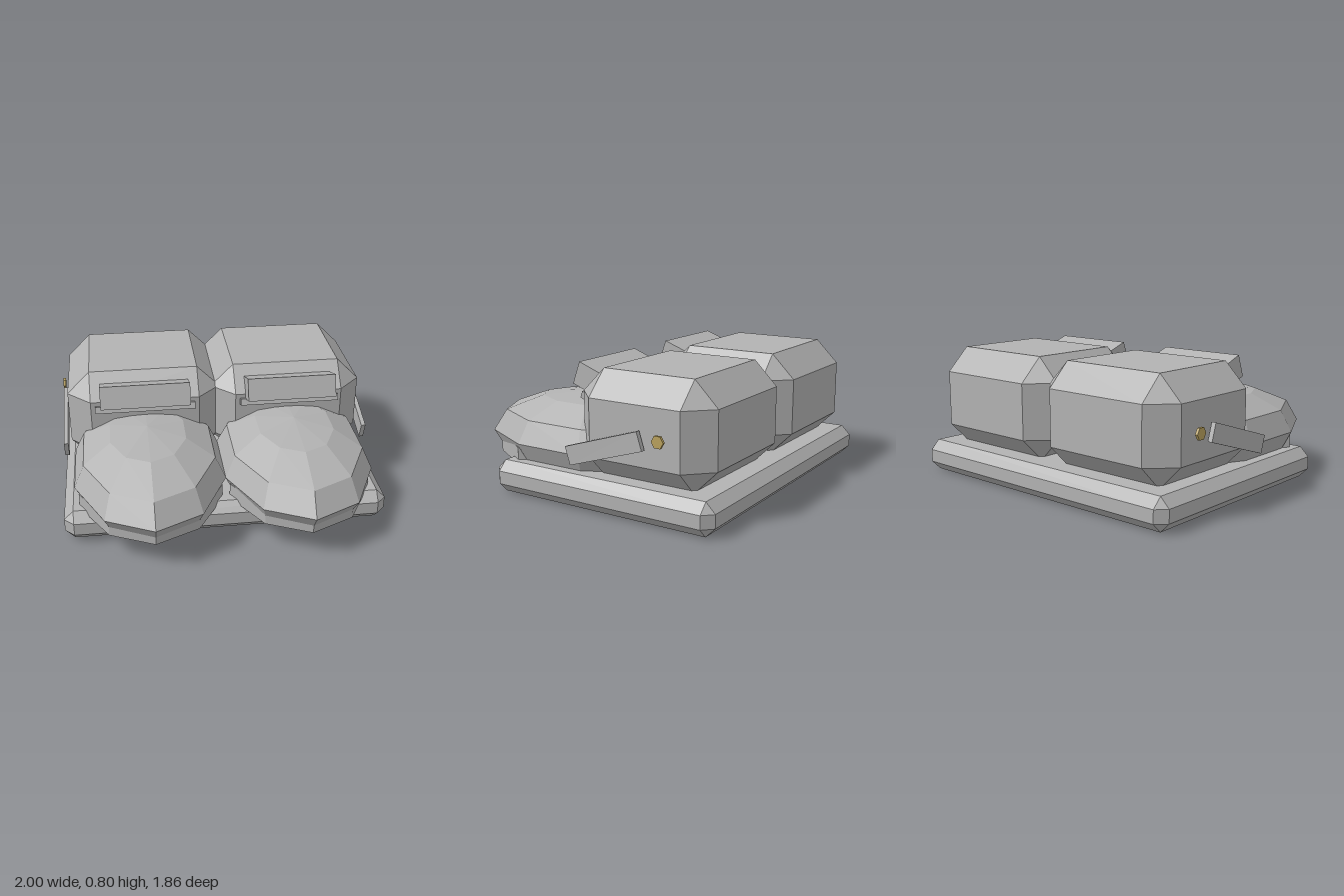
import * as THREE from 'three';
import { ConvexGeometry } from 'three/addons/geometries/ConvexGeometry.js';

const gray = new THREE.MeshStandardMaterial({ color: 0xb2b2b2 });
gray.name = 'gray';
const brass = new THREE.MeshStandardMaterial({ color: 0xbaa25e });
brass.name = 'brass';

// Separate the faces so every facet is flat shaded
function faceted(geometry) {
  const flat = geometry.index ? geometry.toNonIndexed() : geometry;
  flat.computeVertexNormals();
  return flat;
}

function part(name, geometry, material, x, y, z) {
  const mesh = new THREE.Mesh(faceted(geometry), material);
  mesh.name = name;
  mesh.position.set(x, y, z);
  return mesh;
}

// Box with every edge cut by c; a, b, d are half sizes
function chamferedBox(a, b, d, c) {
  const points = [];
  for (const x of [-1, 1]) for (const y of [-1, 1]) for (const z of [-1, 1]) {
    points.push(
      new THREE.Vector3(x * a, y * (b - c), z * (d - c)),
      new THREE.Vector3(x * (a - c), y * b, z * (d - c)),
      new THREE.Vector3(x * (a - c), y * (b - c), z * d));
  }
  return new ConvexGeometry(points);
}

// Low sole that tapers inwards under the toe
function soleGeometry() {
  const outline = [[0, 0.865], [0.265, 0.742], [0.438, 0.45], [0.37, 0.36], [0.2, 0.2]];
  const points = [];
  for (const [y, s] of [[0.27, 1], [0.165, 1], [0.065, 0.62]]) {
    for (const [x, z] of outline) {
      for (const m of [-1, 1]) points.push(new THREE.Vector3(m * x * s, y, 0.25 + (z - 0.25) * s));
    }
  }
  return new ConvexGeometry(points);
}

export function createModel() {
  const model = new THREE.Group();
  model.name = 'model';

  // Base slab
  model.add(part('base', chamferedBox(0.995, 0.0975, 0.752, 0.058), gray, 0, 0.0975, -0.178));

  for (const side of [-1, 1]) {
    const half = new THREE.Group();
    half.name = side > 0 ? 'leftHalf' : 'rightHalf';
    const cx = side * 0.46;

    // Bevelled housing
    half.add(part('housing', chamferedBox(0.488, 0.315, 0.44, 0.145), gray, cx, 0.485, -0.425));

    // Rounded toe dome with a corner facing forward
    const dome = new THREE.SphereGeometry(1, 10, 6).rotateY(Math.PI / 2).scale(0.485, 0.27, 0.725);
    half.add(part('toeDome', dome, gray, cx, 0.3, 0.2));
    half.add(part('sole', soleGeometry(), gray, cx, 0, 0));

    // Tilted brow bars
    const upper = part('upperBar', new THREE.BoxGeometry(0.558, 0.142, 0.3), gray, cx, 0.684, -0.021);
    const lower = part('lowerBar', new THREE.BoxGeometry(0.63, 0.042, 0.2), gray, cx, 0.586, -0.037);
    upper.rotation.x = lower.rotation.x = -0.35;
    half.add(upper, lower);

    // Side strap and hexagonal stud
    const strap = part('sideStrap', new THREE.BoxGeometry(0.028, 0.11, 0.51), gray, side * 0.978, 0.393, -0.25);
    strap.rotation.x = 0.31;
    const stud = new THREE.CylinderGeometry(0.038, 0.038, 0.016, 6).rotateZ(Math.PI / 2);
    half.add(strap, part('stud', stud, brass, side * 0.992, 0.486, -0.612));
    model.add(half);
  }
  return model;
}
